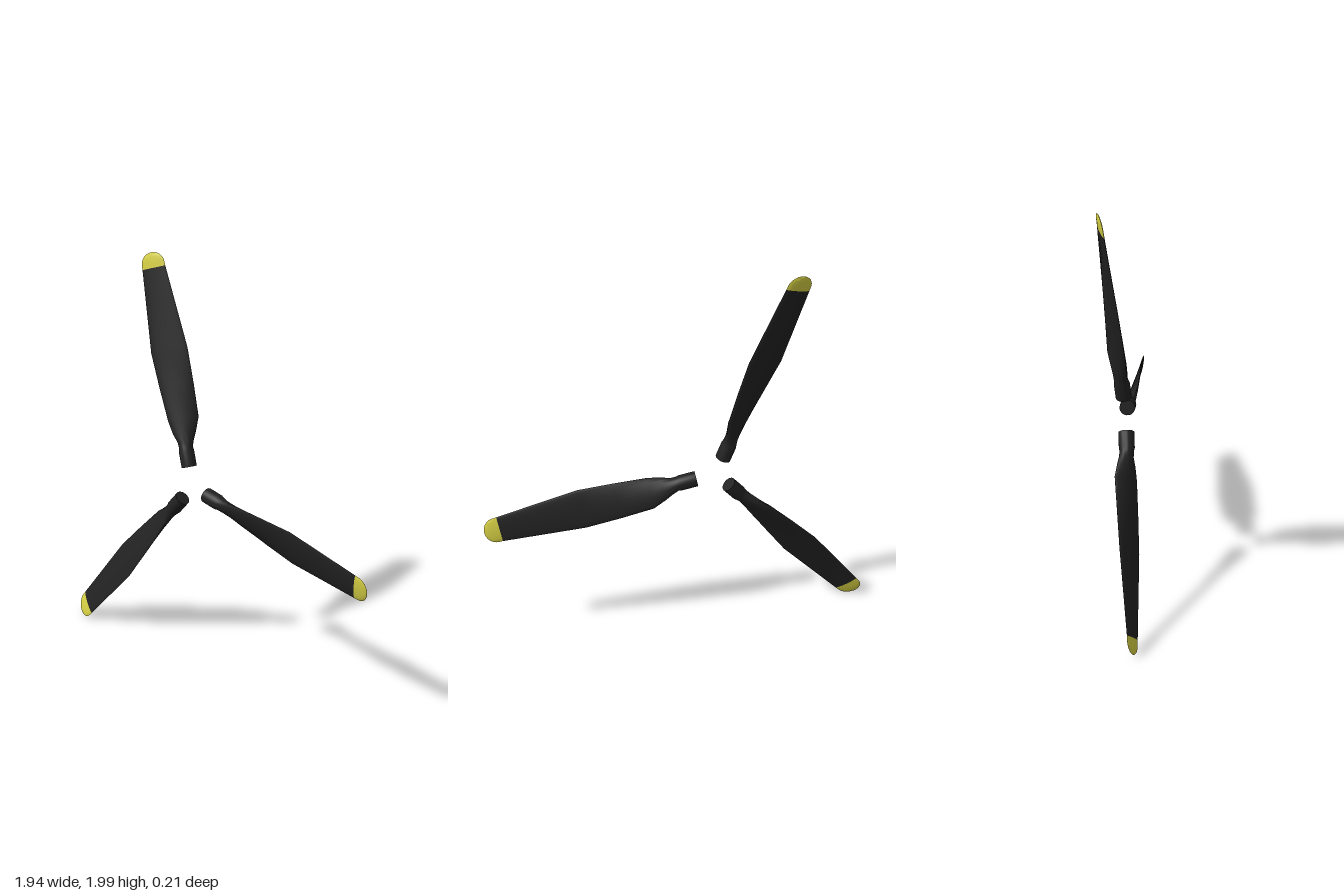
import * as THREE from 'three';
import { toCreasedNormals } from 'three/addons/utils/BufferGeometryUtils.js';

const SIDES = 24;

// Stations along a blade: radius, upper edge, lower edge, half thickness, pitch (degrees), lens sharpness
const BLADE = [
  [0.100, 0.038, -0.038, 0.038, 40, 1],
  [0.180, 0.038, -0.038, 0.038, 40, 1],
  [0.195, 0.034, -0.035, 0.034, 40, 1],
  [0.225, 0.035, -0.045, 0.029, 40, 1],
  [0.270, 0.051, -0.065, 0.025, 39, 1.1],
  [0.336, 0.064, -0.090, 0.021, 36, 1.2],
  [0.500, 0.080, -0.098, 0.016, 28, 1.3],
  [0.680, 0.095, -0.103, 0.012, 22, 1.3],
  [1.090, 0.066, -0.066, 0.008, 16, 1.3],
];

// Rounded end beyond the last straight station
const TIP = [BLADE[BLADE.length - 1]];
for (let i = 0; i <= 8; i++) {
  const a = (i / 8) * Math.PI / 2;
  const w = Math.max(Math.cos(a), 0.002);
  TIP.push([1.11 + 0.057 * Math.sin(a), 0.065 * w, -0.065 * w, 0.0078 * w, 16, 1.3]);
}

// Skins a closed surface over the stations
function loft(stations) {
  const pos = [], index = [];
  for (const [r, hi, lo, thick, deg, sharp] of stations) {
    const p = THREE.MathUtils.degToRad(deg);
    for (let j = 0; j < SIDES; j++) {
      const t = (j / SIDES) * Math.PI * 2, s = Math.sin(t);
      const chord = (hi + lo) / 2 + ((hi - lo) / 2) * Math.cos(t);
      const depth = Math.sign(s) * Math.abs(s) ** sharp * thick;
      pos.push(r, chord * Math.cos(p) - depth * Math.sin(p), chord * Math.sin(p) + depth * Math.cos(p));
    }
  }
  const last = stations.length - 1;
  for (let i = 0; i < last; i++) {
    for (let j = 0; j < SIDES; j++) {
      const k = (j + 1) % SIDES;
      const a = i * SIDES + j, b = i * SIDES + k;
      index.push(a, b, a + SIDES, b, b + SIDES, a + SIDES);
    }
  }
  // End caps
  for (let j = 1; j < SIDES - 1; j++) {
    index.push(0, j + 1, j);
    index.push(last * SIDES, last * SIDES + j, last * SIDES + j + 1);
  }
  const g = new THREE.BufferGeometry();
  g.setAttribute('position', new THREE.Float32BufferAttribute(pos, 3));
  g.setIndex(index);
  return toCreasedNormals(g, 0.6);
}

export function createModel() {
  const model = new THREE.Group();
  model.name = 'propellerBlades';
  const black = new THREE.MeshStandardMaterial({ color: 0x222222 });
  const yellow = new THREE.MeshStandardMaterial({ color: 0xd6d044 });
  const bladeGeometry = loft(BLADE), tipGeometry = loft(TIP);

  // Rotor disc leans back slightly
  const rotor = new THREE.Group();
  rotor.name = 'rotor';
  rotor.position.set(-0.183, 0.898, 0.01);
  rotor.rotation.set(-0.088, 0.006, 0);
  model.add(rotor);

  // Three blades, evenly spaced
  for (let i = 0; i < 3; i++) {
    const blade = new THREE.Group();
    blade.name = `blade${i + 1}`;
    blade.rotation.z = THREE.MathUtils.degToRad(-11 + 120 * i);
    const body = new THREE.Mesh(bladeGeometry, black);
    body.name = 'bladeBody';
    const tip = new THREE.Mesh(tipGeometry, yellow);
    tip.name = 'bladeTip';
    blade.add(body, tip);
    rotor.add(blade);
  }
  return model;
}
